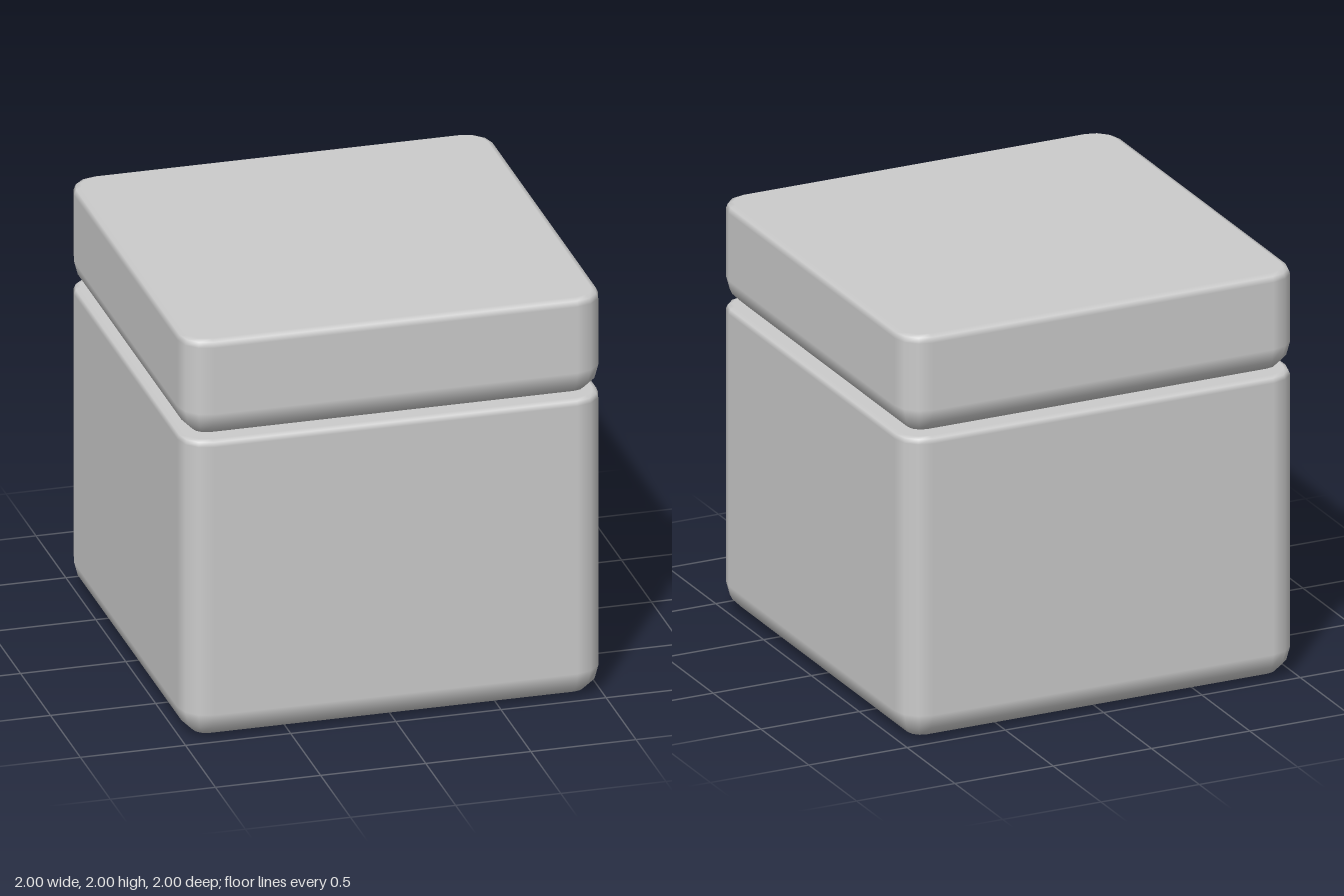
import * as THREE from 'three';

const RADIUS = 0.135; // rounding of the outer edges
const STEPS = 3;      // segments per rounded corner

// Closed block with a rounded-square plan; each edge ring has its own rounding.
function roundedBlock(name, y0, y1, bottomRadius, topRadius) {
  // vertical profile: inset from the side, height, tilt of the normal
  const profile = [];
  const addArc = (radius, centreY, from, to) => {
    const steps = radius < RADIUS ? 2 : STEPS;
    for (let i = 0; i <= steps; i++) {
      const tilt = from + (to - from) * i / steps;
      profile.push([radius * (1 - Math.cos(tilt)), centreY + radius * Math.sin(tilt), tilt]);
    }
  };
  addArc(bottomRadius, y0 + bottomRadius, -Math.PI / 2, 0);
  addArc(topRadius, y1 - topRadius, 0, Math.PI / 2);

  const positions = [], normals = [], index = [];
  const n = 4 * (STEPS + 1);
  for (const [inset, y, tilt] of profile) {
    for (let corner = 0; corner < 4; corner++) {
      const mid = (corner + 0.5) * Math.PI / 2;
      const cx = Math.sign(Math.cos(mid)) * (1 - RADIUS);
      const cz = Math.sign(Math.sin(mid)) * (1 - RADIUS);
      for (let k = 0; k <= STEPS; k++) {
        const a = (corner + k / STEPS) * Math.PI / 2;
        const r = RADIUS - inset;
        positions.push(cx + r * Math.cos(a), y, cz + r * Math.sin(a));
        normals.push(Math.cos(tilt) * Math.cos(a), Math.sin(tilt), Math.cos(tilt) * Math.sin(a));
      }
    }
  }
  // side walls
  for (let i = 0; i < profile.length - 1; i++) {
    for (let j = 0; j < n; j++) {
      const a = i * n + j, b = i * n + (j + 1) % n;
      index.push(a, a + n, b, b, a + n, b + n);
    }
  }
  // flat bottom and top
  const top = (profile.length - 1) * n;
  for (let j = 1; j < n - 1; j++) {
    index.push(0, j, j + 1, top, top + j + 1, top + j);
  }

  const geometry = new THREE.BufferGeometry();
  geometry.setAttribute('position', new THREE.Float32BufferAttribute(positions, 3));
  geometry.setAttribute('normal', new THREE.Float32BufferAttribute(normals, 3));
  geometry.setIndex(index);
  const mesh = new THREE.Mesh(geometry, new THREE.MeshStandardMaterial({ color: 0xcccccc }));
  mesh.name = name;
  return mesh;
}

export function createModel() {
  const group = new THREE.Group();
  group.name = 'liddedBox';
  // the small facing roundings form the groove between body and lid
  group.add(roundedBlock('body', 0, 1.5, RADIUS, 0.03));
  group.add(roundedBlock('lid', 1.5, 2, RADIUS, 0.035));
  return group;
}
